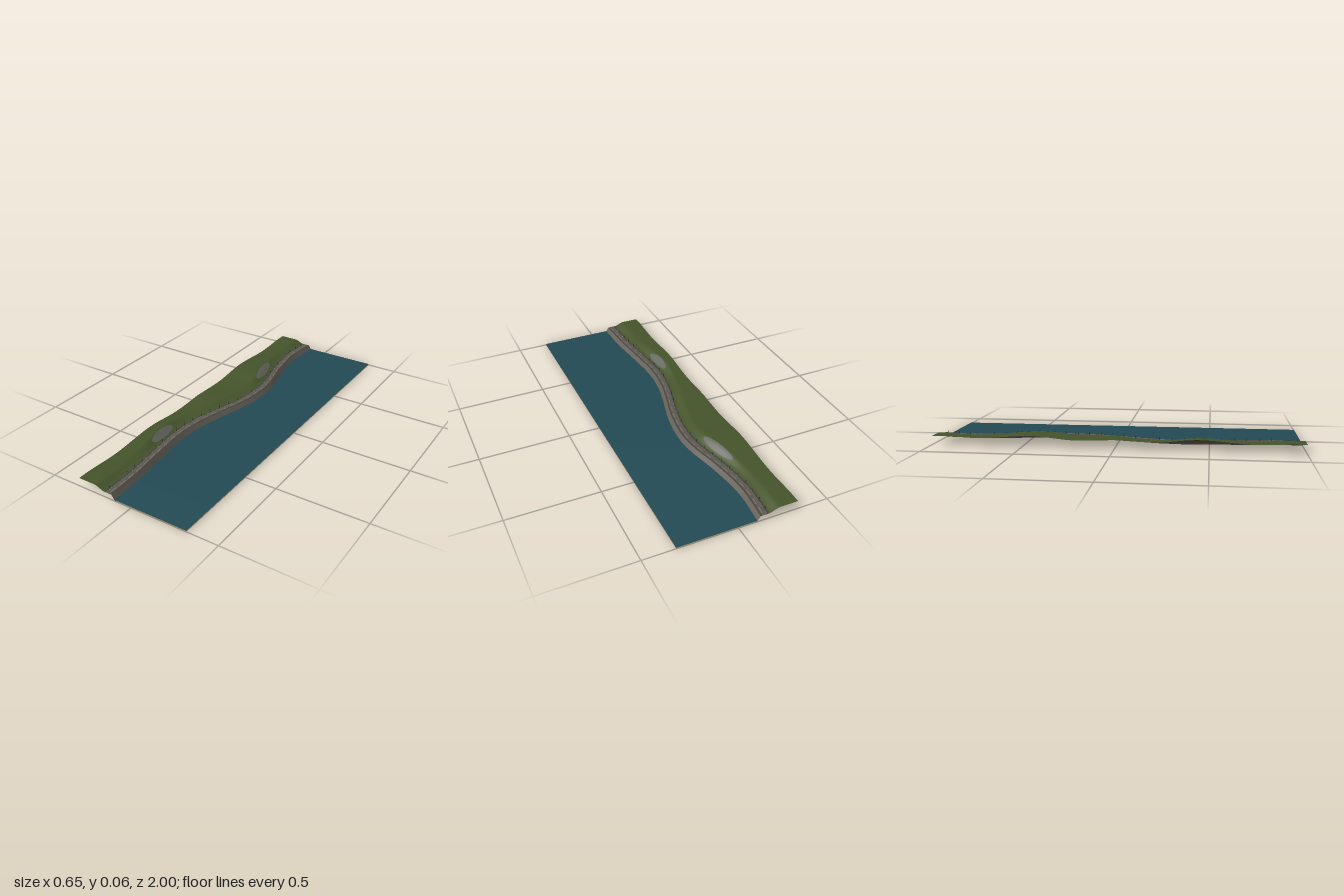
import * as THREE from 'three';

const mat = (name, color) => {
  const m = new THREE.MeshStandardMaterial({ color, side: THREE.DoubleSide });
  m.name = name;
  return m;
};

// Smooth curve value at z through [z, value] points
function interpolate(points, z) {
  let i = 0;
  while (i < points.length - 2 && z > points[i + 1][0]) i++;
  const p = k => points[Math.min(Math.max(k, 0), points.length - 1)];
  const [a, b, c, d] = [p(i - 1), p(i), p(i + 1), p(i + 2)];
  const w = c[0] - b[0], t = (z - b[0]) / w;
  const m0 = (c[1] - a[1]) / (c[0] - a[0]) * w, m1 = (d[1] - b[1]) / (d[0] - b[0]) * w;
  const t2 = t * t, t3 = t2 * t;
  return (2 * t3 - 3 * t2 + 1) * b[1] + (t3 - 2 * t2 + t) * m0 + (3 * t2 - 2 * t3) * c[1] + (t3 - t2) * m1;
}

// Winding line of the promenade and height of the land behind it
const PATH = [[-1, -0.135], [-0.8, -0.149], [-0.6, -0.124], [-0.4, -0.08], [-0.28, -0.07], [-0.1, -0.091],
  [0.1, -0.145], [0.22, -0.172], [0.38, -0.185], [0.6, -0.166], [0.8, -0.143], [1, -0.135]];
const HILLS = [[0, 0.05], [0.22, 0.043], [0.45, 0.061], [0.73, 0.043], [0.93, 0.05], [1, 0.049]];
const pathX = z => interpolate(PATH, z);
const landY = (offset, z) =>
  0.03 + (interpolate(HILLS, Math.abs(z)) - 0.03) * THREE.MathUtils.smoothstep(-offset, 0.027, 0.092);

// Sheet swept along z; section(z) lists [x, y] points from land to sea
function ribbon(name, material, section, z0 = -1, z1 = 1, steps = 100) {
  const pos = [], index = [];
  let n = 0;
  for (let i = 0; i <= steps; i++) {
    const z = z0 + (z1 - z0) * i / steps, pts = section(z);
    n = pts.length;
    pts.forEach(([x, y]) => pos.push(x, y, z));
    if (i === steps) break;
    for (let j = 0; j < n - 1; j++) {
      const a = i * n + j, c = a + n;
      index.push(a, c, a + 1, a + 1, c, c + 1);
    }
  }
  const g = new THREE.BufferGeometry();
  g.setAttribute('position', new THREE.Float32BufferAttribute(pos, 3));
  g.setIndex(index);
  g.computeVertexNormals();
  const mesh = new THREE.Mesh(g, material);
  mesh.name = name;
  return mesh;
}

export function createModel() {
  const model = new THREE.Group();
  model.name = 'shoreline';
  const grass = mat('grass', 0x46552c), rock = mat('rock', 0x63645c), water = mat('water', 0x234b55);
  const sand = mat('sand', 0x94805f), stone = mat('wall stone', 0x66625a), paving = mat('paving', 0x5c5851);
  const coping = mat('coping', 0x45423e), iron = mat('iron', 0x2b2a28), joint = mat('pale paving', 0x7a705f);

  // Rolling land
  model.add(ribbon('land', grass, z => {
    const x1 = pathX(z) - 0.025, pts = [];
    for (let j = 0; j <= 24; j++) {
      const x = -0.325 + (x1 + 0.325) * j / 24;
      pts.push([x, landY(x - pathX(z), z)]);
    }
    return pts;
  }));

  // Bare rock on the two steep slopes
  for (const [mid, half, offset] of [[-0.48, 0.115, -0.068], [0.45, 0.095, -0.06]]) {
    model.add(ribbon('rockPatch', rock, z => {
      const w = 0.021 * Math.sqrt(Math.max(0, 1 - ((z - mid) / half) ** 2));
      return [-1, -0.5, 0, 0.5, 1].map(k => {
        const o = offset + k * w;
        return [pathX(z) + o, landY(o, z) + 0.0012];
      });
    }, mid - half, mid + half, 24));
  }

  // Promenade strips and the sloping sea wall
  const strip = (name, material, o0, y0, o1, y1) =>
    model.add(ribbon(name, material, z => [[pathX(z) + o0, y0], [pathX(z) + o1, y1]]));
  strip('innerKerb', coping, -0.03, 0.0305, -0.021, 0.0305);
  strip('promenade', paving, -0.021, 0.03, 0.008, 0.03);
  strip('coping', coping, 0.008, 0.0305, 0.016, 0.0295);
  strip('seaWall', stone, 0.016, 0.0295, 0.036, 0);

  // Pale paving strips along the middle of the promenade
  for (let i = 0; i < 30; i++) {
    const z0 = -0.985 + i * 0.0665;
    model.add(ribbon('pavingStrip', joint,
      z => [[pathX(z) - 0.003, 0.0306], [pathX(z) + 0.003, 0.0306]], z0, z0 + 0.042, 4));
  }

  // Capped posts on the land side
  const postGeo = new THREE.CylinderGeometry(0.0008, 0.001, 0.016, 6);
  const capGeo = new THREE.BoxGeometry(0.005, 0.0015, 0.003);
  for (let i = 0; i < 30; i++) {
    const z = -0.965 + i * 0.0665, post = new THREE.Group();
    post.name = 'post';
    const pole = new THREE.Mesh(postGeo, iron), cap = new THREE.Mesh(capGeo, iron);
    pole.name = 'pole';
    cap.name = 'cap';
    pole.position.y = 0.038;
    cap.position.y = 0.0462;
    post.add(pole, cap);
    post.position.set(pathX(z) - 0.025, 0, z);
    model.add(post);
  }

  // Water surface above a flat bed
  model.add(ribbon('water', water, z => [[pathX(z) + 0.031, 0.006], [0.325, 0.006]]));
  model.add(ribbon('seabed', sand, z => [[pathX(z) + 0.036, 0], [0.325, 0]]));
  return model;
}
